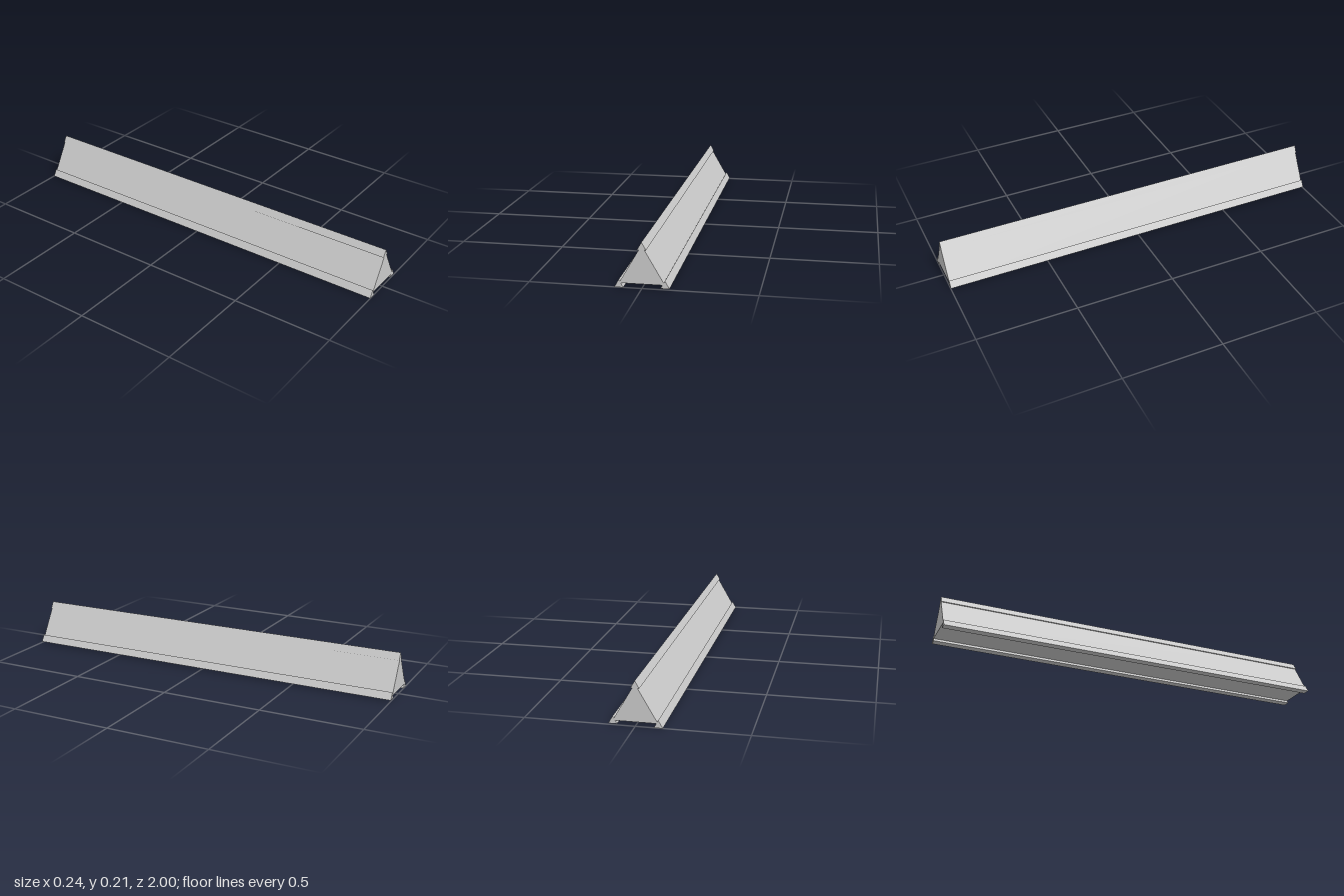
import * as THREE from 'three';

const LENGTH = 2;

// Triangular bar along z: base at height y, centred on x
function triangularBar(name, material, x, y, width, height) {
  const shape = new THREE.Shape([
    new THREE.Vector2(x - width / 2, y),
    new THREE.Vector2(x + width / 2, y),
    new THREE.Vector2(x, y + height),
  ]);
  const geometry = new THREE.ExtrudeGeometry(shape, { depth: LENGTH, bevelEnabled: false });
  geometry.translate(0, 0, -LENGTH / 2);
  const mesh = new THREE.Mesh(geometry, material);
  mesh.name = name;
  return mesh;
}

export function createModel() {
  const group = new THREE.Group();
  group.name = 'triangularBeam';
  const grey = new THREE.MeshStandardMaterial({ color: 0xcccccc });
  grey.name = 'light grey';

  // Main prism
  group.add(triangularBar('mainPrism', grey, 0, 0.02, 0.2, 0.173));

  // Small rails along the three edges
  group.add(triangularBar('topRail', grey, 0, 0.172, 0.039, 0.034));
  group.add(triangularBar('rightRail', grey, -0.101, 0, 0.039, 0.035));
  group.add(triangularBar('leftRail', grey, 0.1, 0.005, 0.039, 0.034));
  return group;
}
